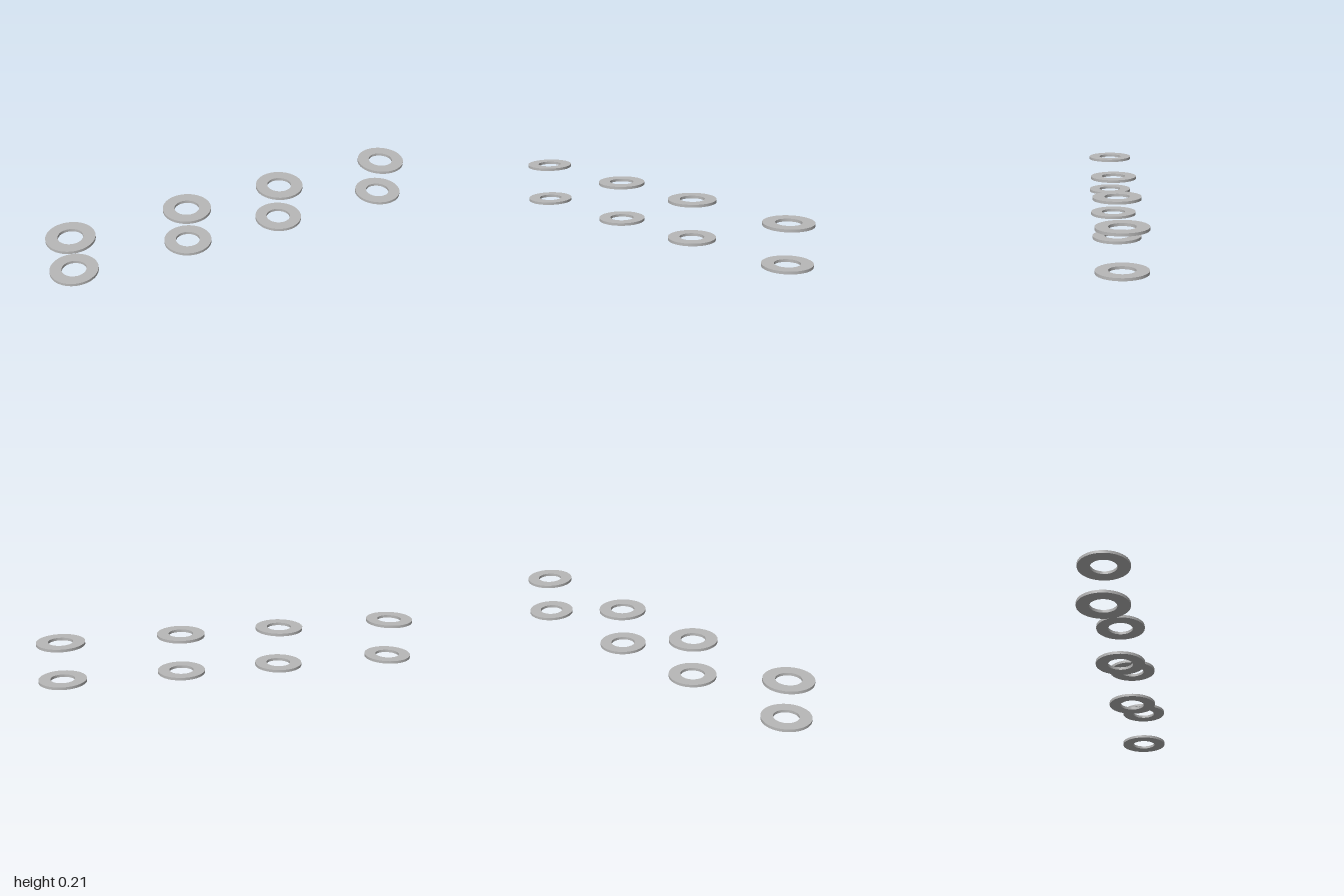
import * as THREE from 'three';
import { toCreasedNormals } from 'three/addons/utils/BufferGeometryUtils.js';

const OUTER = 0.123, INNER = 0.063, THICK = 0.014, SIDES = 24;

// Flat ring lying on y = 0, with sharp rims and smooth walls
function washerGeometry() {
  const ring = new THREE.Shape().absarc(0, 0, OUTER, 0, Math.PI * 2);
  ring.holes.push(new THREE.Path().absarc(0, 0, INNER, 0, Math.PI * 2, true));
  const geo = new THREE.ExtrudeGeometry(ring, { depth: THICK, bevelEnabled: false, curveSegments: SIDES });
  geo.rotateX(-Math.PI / 2);
  return toCreasedNormals(geo, Math.PI / 5);
}

export function createModel() {
  const group = new THREE.Group();
  group.name = 'washerSet';
  const steel = new THREE.MeshStandardMaterial({ color: 0xb8b8b8 });
  steel.name = 'steel grey';
  const geo = washerGeometry();

  // Two rows of four washers, mirrored left and right
  for (const [row, y] of [['lower', 0], ['upper', 0.2]]) {
    for (const [place, x] of [['Outer', 0.877], ['Inner', 0.262]]) {
      for (const [side, sign] of [['Left', 1], ['Right', -1]]) {
        const washer = new THREE.Mesh(geo, steel);
        washer.name = `${row}${place}${side}Washer`;
        washer.position.set(sign * x, y, 0);
        group.add(washer);
      }
    }
  }
  return group;
}
